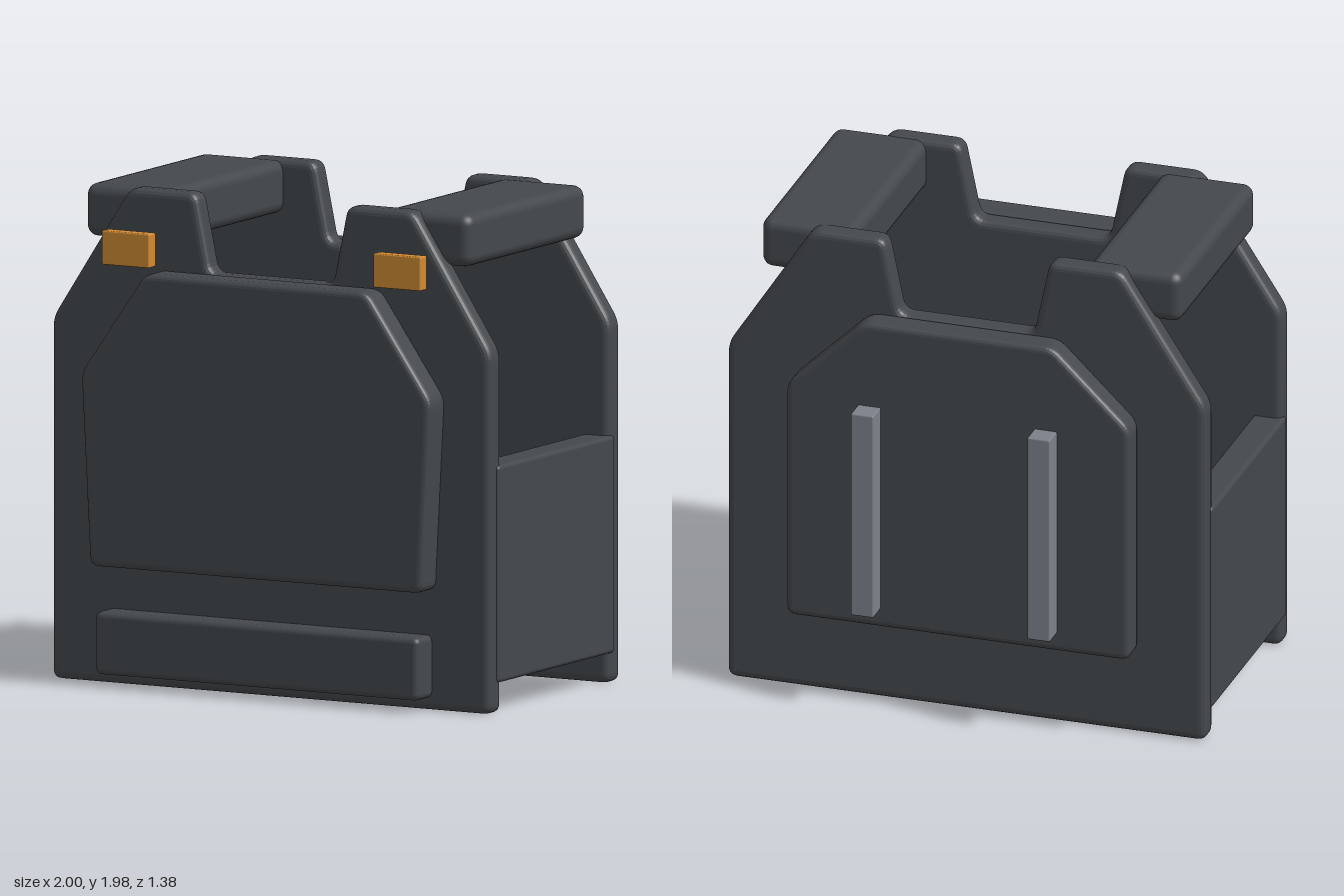
import * as THREE from 'three';
import { RoundedBoxGeometry } from 'three/addons/geometries/RoundedBoxGeometry.js';

// Half outline (x >= 0, bottom to top) mirrored into a closed shape with softened corners
function softShape(half, soft) {
  const pts = [...half, ...half.map(([x, y]) => [-x, y]).reverse()].map(([x, y]) => new THREE.Vector2(x, y));
  const shape = new THREE.Shape();
  pts.forEach((p, i) => {
    const toward = (q) => p.clone().add(q.clone().sub(p).setLength(soft));
    const a = toward(pts[(i + pts.length - 1) % pts.length]);
    const b = toward(pts[(i + 1) % pts.length]);
    if (i === 0) shape.moveTo(a.x, a.y);
    else shape.lineTo(a.x, a.y);
    shape.quadraticCurveTo(p.x, p.y, b.x, b.y);
  });
  shape.closePath();
  return shape;
}

// Plate with rounded rims filling z0..z1
function plate(half, z0, z1, bevel) {
  const geo = new THREE.ExtrudeGeometry(softShape(half, 0.04), {
    depth: z1 - z0 - 2 * bevel,
    bevelThickness: bevel, bevelSize: bevel, bevelOffset: -bevel, bevelSegments: 4,
    curveSegments: 5,
  });
  return geo.translate(0, 0, z0 + bevel);
}

// Rounded block given by its limits
function block([x0, x1], [y0, y1], [z0, z1], radius) {
  const geo = new RoundedBoxGeometry(x1 - x0, y1 - y0, z1 - z0, 3, radius);
  return geo.translate((x0 + x1) / 2, (y0 + y1) / 2, (z0 + z1) / 2);
}

export function createModel() {
  const group = new THREE.Group();
  const fabric = new THREE.MeshStandardMaterial({ color: 0x44484c });
  fabric.name = 'darkGrey';
  const metal = new THREE.MeshStandardMaterial({ color: 0x7c818a });
  metal.name = 'lightGrey';
  const orange = new THREE.MeshStandardMaterial({ color: 0xd08a34 });
  orange.name = 'orange';

  const add = (name, geo, material) => {
    const mesh = new THREE.Mesh(geo, material);
    mesh.name = name;
    group.add(mesh);
  };

  // Front and back shells share one outline with a neck notch
  const shell = [[0.99, 0.005], [0.99, 1.44], [0.64, 1.98], [0.34, 1.98], [0.275, 1.665]];
  add('frontShell', plate(shell, 0.46, 0.56, 0.03), fabric);
  add('backShell', plate(shell, -0.49, -0.39, 0.03), fabric);

  // Armour plates and belly pouch
  add('chestPlate', plate([[0.75, 0.485], [0.79, 1.25], [0.5, 1.665]], 0.55, 0.685, 0.025), fabric);
  add('backPlate', plate([[0.71, 0.36], [0.71, 1.355], [0.39, 1.665]], -0.6, -0.48, 0.025), fabric);
  add('bellyPouch', block([-0.73, 0.73], [0.055, 0.305], [0.54, 0.675], 0.025), fabric);

  // Mirrored parts
  for (const [side, s] of [['left', 1], ['right', -1]]) {
    const span = (a, b) => (s > 0 ? [a, b] : [-b, -a]);
    add(side + 'SidePanel', block(span(0.87, 1), [0.125, 0.99], [-0.43, 0.505], 0.018), fabric);
    add(side + 'ShoulderPad', block(span(0.48, 0.87), [1.765, 1.975], [-0.435, 0.51], 0.045), fabric);
    add(side + 'ShoulderMarker', block(span(0.505, 0.72), [1.68, 1.815], [0.58, 0.635], 0.006), orange);
    add(side + 'BackRail', block(span(0.318, 0.412), [0.44, 1.31], [-0.69, -0.59], 0.006), metal);
  }
  return group;
}
